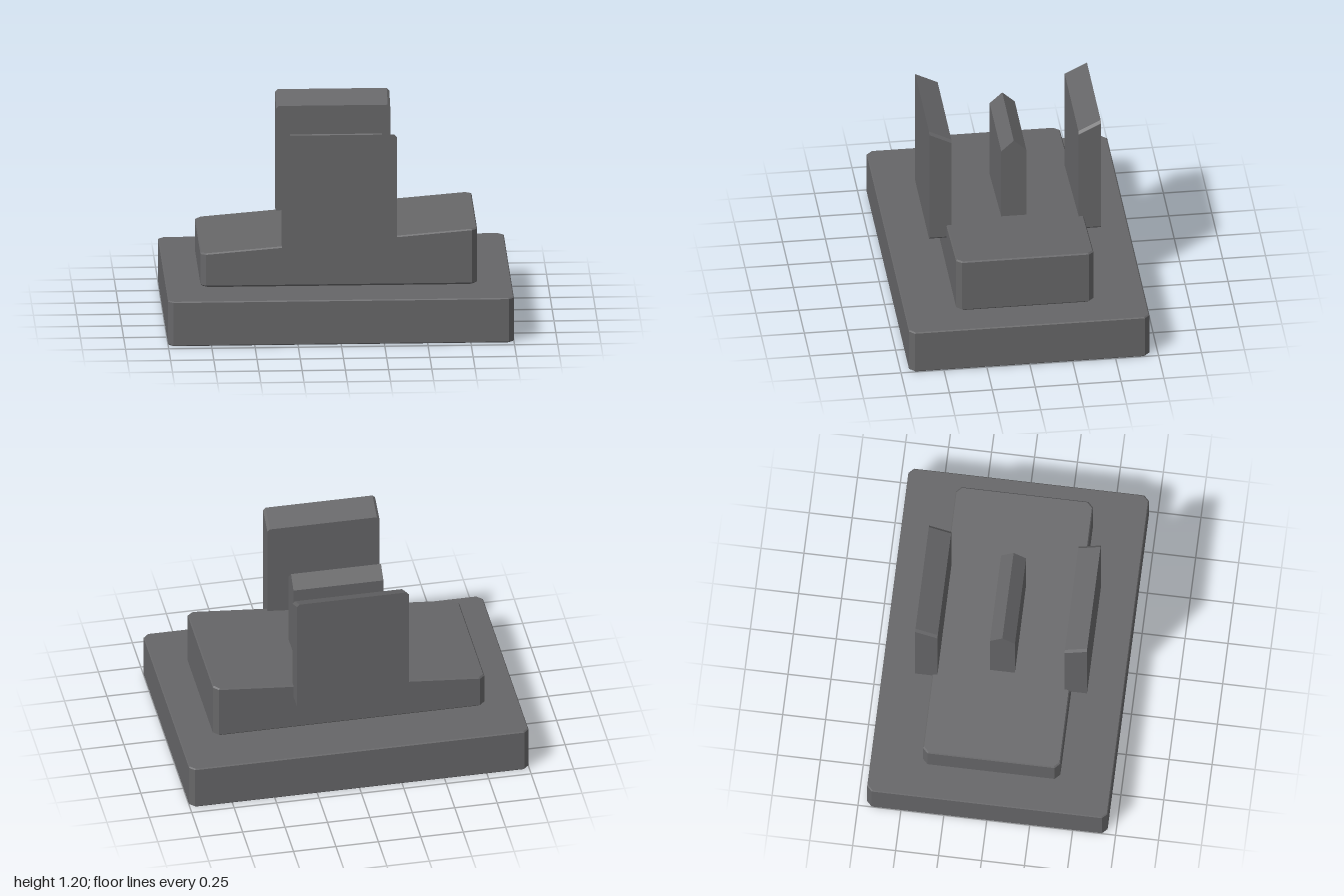
import * as THREE from 'three';

const grey = new THREE.MeshStandardMaterial({ color: 0x666668 });
grey.name = 'dark grey';

// Rectangle with cut corners, as eight points
function cutRect(hx, hy, c) {
  return [[hx, -hy + c], [hx, hy - c], [hx - c, hy], [-hx + c, hy],
    [-hx, hy - c], [-hx, -hy + c], [-hx + c, -hy], [hx - c, -hy]];
}

// Slab through stacked cut-corner rings: { inset, y(x) } from bottom to top
function slab(name, hx, hz, cut, levels) {
  const rings = levels.map(({ inset, y }) =>
    cutRect(hx - inset, hz - inset, cut).map(([x, z]) => [x, y(x), z]));
  const pos = [];
  const tri = (a, b, c) => pos.push(...a, ...b, ...c);
  for (let r = 0; r < rings.length - 1; r++) {
    const lo = rings[r], hi = rings[r + 1];
    for (let i = 0; i < 8; i++) {
      const j = (i + 1) % 8;
      tri(lo[i], hi[i], hi[j]);
      tri(lo[i], hi[j], lo[j]);
    }
  }
  const bottom = rings[0], top = rings[rings.length - 1];
  for (let i = 1; i < 7; i++) {
    tri(bottom[0], bottom[i], bottom[i + 1]);
    tri(top[0], top[i + 1], top[i]);
  }
  const geo = new THREE.BufferGeometry();
  geo.setAttribute('position', new THREE.Float32BufferAttribute(pos, 3));
  geo.computeVertexNormals();
  const mesh = new THREE.Mesh(geo, grey);
  mesh.name = name;
  return mesh;
}

function extrude(points, depth) {
  const shape = new THREE.Shape(points.map(([x, y]) => new THREE.Vector2(x, y)));
  return new THREE.ExtrudeGeometry(shape, { depth, bevelEnabled: false });
}

export function createModel() {
  const group = new THREE.Group();
  group.name = 'model';

  // Flat base
  group.add(slab('base', 1, 0.7, 0.03, [
    { inset: 0.005, y: () => 0 },
    { inset: 0, y: () => 0.006 },
    { inset: 0, y: () => 0.26 },
    { inset: 0.005, y: () => 0.266 },
  ]));

  // Sloping block, higher towards +x
  const slope = (x) => 0.535 + 0.084 * x;
  group.add(slab('slopingBlock', 0.8, 0.4, 0.03, [
    { inset: 0.015, y: () => 0.264 },
    { inset: 0, y: () => 0.278 },
    { inset: 0, y: (x) => slope(x) - 0.008 },
    { inset: 0.006, y: slope },
  ]));

  // Side plates with tops that slope down towards the middle
  const plateGeo = extrude(cutRect(0.33, 0.365, 0.015), 0.13);
  plateGeo.translate(0, 0.835, 0.37);
  const p = plateGeo.attributes.position;
  for (let i = 0; i < p.count; i++) {
    if (p.getY(i) > 1) p.setY(i, p.getY(i) - 0.5 * (0.5 - p.getZ(i)));
  }
  plateGeo.computeVertexNormals();
  ['frontPlate', 'backPlate'].forEach((name, i) => {
    const plate = new THREE.Mesh(plateGeo, grey);
    plate.name = name;
    plate.rotation.y = i * Math.PI;
    group.add(plate);
  });

  // Middle blade with a ridged top
  const bladeGeo = extrude([[-0.073, 0.4], [0.073, 0.4], [0.073, 1], [0, 1.067], [-0.073, 1]], 0.53);
  bladeGeo.translate(0, 0, -0.265).rotateY(Math.PI / 2);
  const blade = new THREE.Mesh(bladeGeo, grey);
  blade.name = 'middleBlade';
  group.add(blade);

  return group;
}
